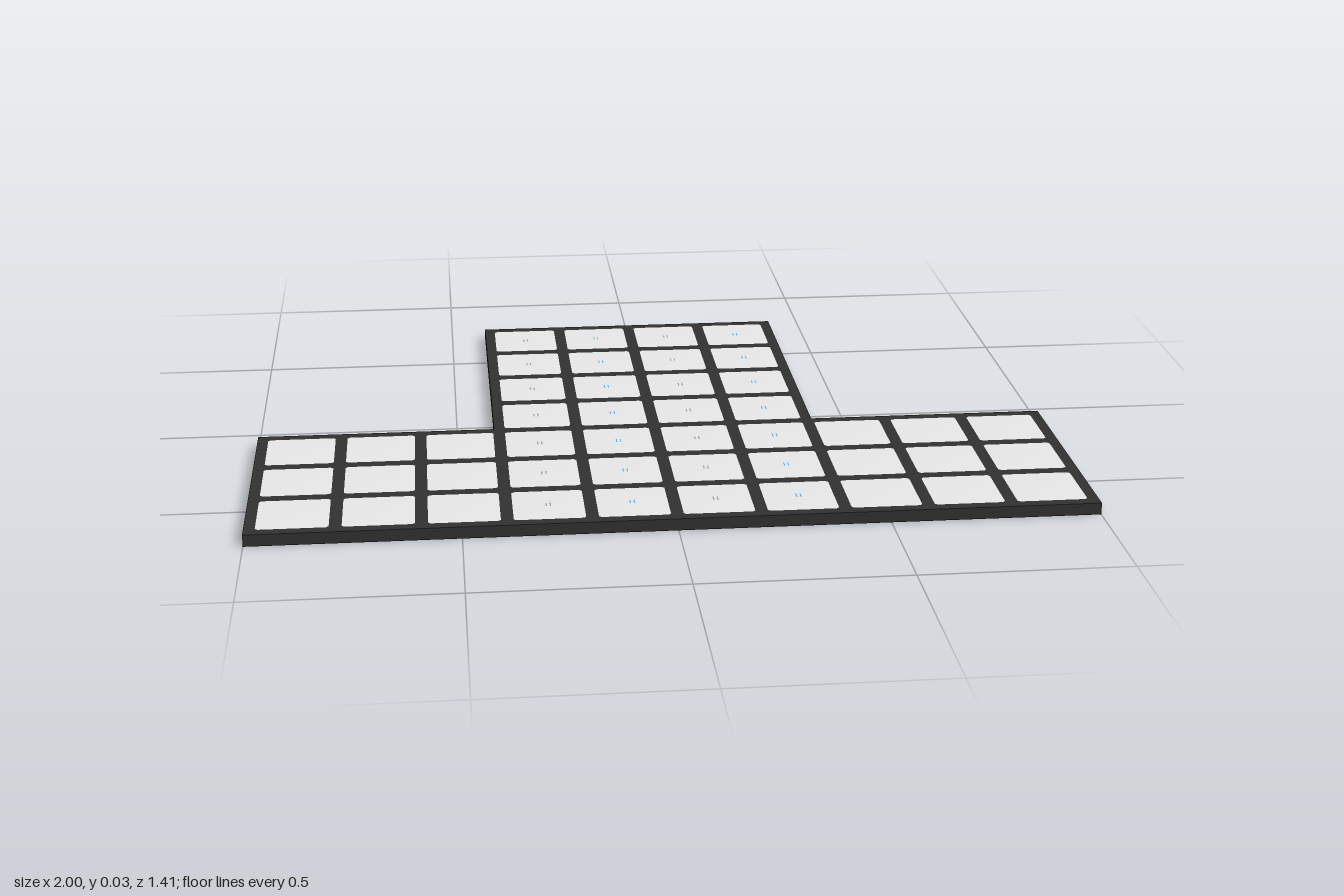
import * as THREE from 'three';

const PITCH = 0.1976, GAP = 0.024, TILE = 0.168;
const HALF_W = 1, HALF_D = (7 * PITCH + GAP) / 2, STEM = 2 * PITCH + GAP / 2;
const STEP_Z = HALF_D - 3 * PITCH - GAP;
const SHEET = 0.001, PLATE_TOP = 0.029, RISE = 0.0008;

const mat = (name, color, flatShading = false) => {
  const m = new THREE.MeshStandardMaterial({ color, flatShading });
  m.name = name;
  return m;
};

// T-shaped slab between two heights
function slab(name, bottom, top, material) {
  const outline = new THREE.Shape([
    [-HALF_W, -HALF_D], [HALF_W, -HALF_D], [HALF_W, -STEP_Z], [STEM, -STEP_Z],
    [STEM, HALF_D], [-STEM, HALF_D], [-STEM, -STEP_Z], [-HALF_W, -STEP_Z],
  ].map(([x, y]) => new THREE.Vector2(x, y)));
  const g = new THREE.ExtrudeGeometry(outline, { depth: top - bottom, bevelEnabled: false });
  g.rotateX(-Math.PI / 2);
  const mesh = new THREE.Mesh(g, material);
  mesh.name = name;
  mesh.position.y = bottom;
  return mesh;
}

// Very shallow pyramid with slightly clipped corners
function tileGeometry() {
  const h = TILE / 2, c = h - 0.006;
  const ring = [[h, c], [c, h], [-c, h], [-h, c], [-h, -c], [-c, -h], [c, -h], [h, -c]];
  const pos = [];
  ring.forEach((a, i) => {
    const b = ring[(i + 1) % ring.length];
    pos.push(0, RISE, 0, b[0], 0, b[1], a[0], 0, a[1]);
  });
  const g = new THREE.BufferGeometry();
  g.setAttribute('position', new THREE.Float32BufferAttribute(pos, 3));
  g.computeVertexNormals();
  return g;
}

export function createModel() {
  const model = new THREE.Group();
  model.name = 'tiledPanel';
  const dark = mat('charcoal', 0x313131);
  const black = mat('nearBlack', 0x0a0a0a);
  const light = mat('offWhite', 0xebebeb, true);
  const blue = mat('blue', 0x5cb0e8);
  const grey = mat('midGrey', 0x9c9c9c);

  // Base plate with a darker underside sheet
  model.add(slab('basePlate', SHEET, PLATE_TOP, dark));
  model.add(slab('underside', 0, SHEET, black));

  // Tiles: four columns in the stem, ten in the crossbar
  const tileGeo = tileGeometry();
  const markGeo = new THREE.PlaneGeometry(0.003, 0.02).rotateX(-Math.PI / 2);
  for (let row = 0; row < 7; row++) {
    for (let col = 0; col < 10; col++) {
      const inStem = col >= 3 && col <= 6;
      if (row < 4 && !inStem) continue;
      const cell = new THREE.Group();
      cell.name = 'cell';
      cell.position.set((col - 4.5) * PITCH, PLATE_TOP + 0.0003, (row - 3) * PITCH);
      const tile = new THREE.Mesh(tileGeo, light);
      tile.name = 'tile';
      cell.add(tile);

      // Pair of tiny centre marks on the middle columns
      if (inStem) {
        for (const s of [-1, 1]) {
          const mark = new THREE.Mesh(markGeo, col % 2 ? grey : blue);
          mark.name = 'centreMark';
          mark.position.set(s * 0.005, RISE + 0.0002, 0);
          cell.add(mark);
        }
      }
      model.add(cell);
    }
  }
  return model;
}
